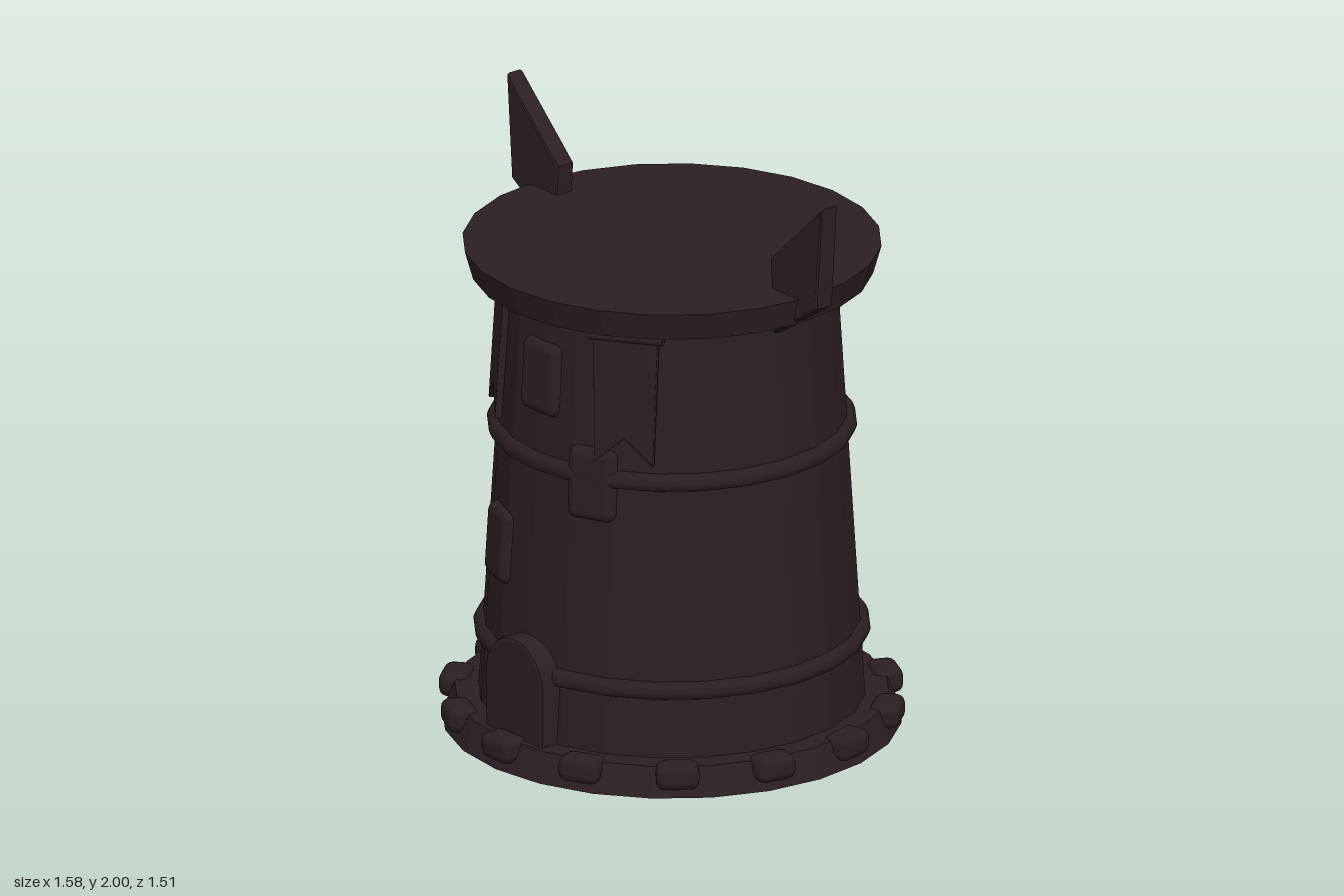
import * as THREE from 'three';
import { RoundedBoxGeometry } from 'three/addons/geometries/RoundedBoxGeometry.js';

const SIDES = 24;
const LEAN = 0.062; // wall slope: radius lost per unit of height
const wallRadius = (y) => 0.63 - LEAN * y;

export function createModel() {
  const tower = new THREE.Group();
  tower.name = 'tower';
  const dark = new THREE.MeshStandardMaterial({ color: 0x2b1e24 });
  const darkFlat = new THREE.MeshStandardMaterial({ color: 0x2b1e24, flatShading: true });

  const add = (name, geometry, material = dark, parent = tower) => {
    const mesh = new THREE.Mesh(geometry, material);
    mesh.name = name;
    parent.add(mesh);
    return mesh;
  };
  const ring = (points) =>
    new THREE.LatheGeometry(points.map(([r, y]) => new THREE.Vector2(r, y)), SIDES);
  // Anchor on the wall at a yaw and height; leaning follows the wall slope
  const wallMount = (name, yaw, y, radius, lean = LEAN) => {
    const mount = new THREE.Group();
    mount.name = name;
    mount.rotation.set(-lean, yaw, 0, 'YXZ');
    mount.position.set(Math.sin(yaw) * radius, y, Math.cos(yaw) * radius);
    tower.add(mount);
    return mount;
  };
  const plate = (points, depth, bevel) => {
    const shape = new THREE.Shape(points.map(([x, y]) => new THREE.Vector2(x, y)));
    const g = new THREE.ExtrudeGeometry(shape, {
      depth: depth - 2 * bevel, bevelThickness: bevel, bevelSize: bevel,
      bevelOffset: -bevel, bevelSegments: 2, curveSegments: 10,
    });
    return g.translate(0, 0, bevel - depth / 2);
  };

  // Tapered wall, foot and overhanging roof rim
  add('wall', ring([[wallRadius(0.08), 0.08], [wallRadius(1.6), 1.6]]), darkFlat);
  add('foot', ring([[0, 0], [0.74, 0.015], [0.7, 0.11], [0.58, 0.11]]), darkFlat);
  add('roofRim', ring([[0.5, 1.56], [0.648, 1.56], [0.675, 1.655], [0, 1.662]]), darkFlat);

  // Hoops around the wall
  for (const y of [0.335, 1.035]) {
    const hoop = add('hoop', new THREE.TorusGeometry(wallRadius(y), 0.031, 8, SIDES));
    hoop.rotation.x = Math.PI / 2;
    hoop.position.y = y;
  }

  // Stones set around the foot
  const stoneGeometry = new RoundedBoxGeometry(0.14, 0.085, 0.1, 2, 0.03);
  for (let i = 0; i < 14; i++) {
    const mount = wallMount('footStone', (i / 14) * Math.PI * 2, 0.085, 0.705, 0);
    add('stone', stoneGeometry, dark, mount);
  }

  // Windows
  for (const [x, y] of [[0, 1.32], [0.22, 1.01], [-0.2, 0.69]]) {
    const r = wallRadius(y) - 0.008;
    const mount = wallMount('window', Math.asin(x / r), y, r);
    add('windowPanel', new RoundedBoxGeometry(0.17, 0.245, 0.065, 3, 0.032), dark, mount);
  }

  // Arched door
  const arch = new THREE.Shape();
  arch.moveTo(-0.145, 0.07);
  arch.lineTo(0.145, 0.07);
  arch.lineTo(0.145, 0.3);
  arch.absarc(0, 0.3, 0.145, 0, Math.PI);
  arch.closePath();
  add('door', new THREE.ExtrudeGeometry(arch, {
    depth: 0.1, bevelThickness: 0.012, bevelSize: 0.012, bevelOffset: -0.012,
    bevelSegments: 2, curveSegments: 12,
  })).position.z = 0.553;

  // Swallow-tailed banners hanging from rods
  for (const side of [-1, 1]) {
    const mount = wallMount('banner', side * 0.6, 1.52, wallRadius(1.52) + 0.008);
    add('bannerCloth', plate(
      [[-0.108, 0], [-0.098, -0.425], [0, -0.34], [0.098, -0.425], [0.108, 0]], 0.025, 0.005,
    ), dark, mount);
    const rod = add('bannerRod', new THREE.CylinderGeometry(0.018, 0.018, 0.245, 8), dark, mount);
    rod.rotation.z = Math.PI / 2;
  }

  // Swept horns on both sides of the roof
  const hornGeometry = plate([[0.545, 1.5], [0.765, 1.648], [0.788, 2], [0.527, 1.755]], 0.068, 0.012);
  for (const side of [0, Math.PI]) {
    add('horn', hornGeometry).rotation.y = side;
  }

  return tower;
}
